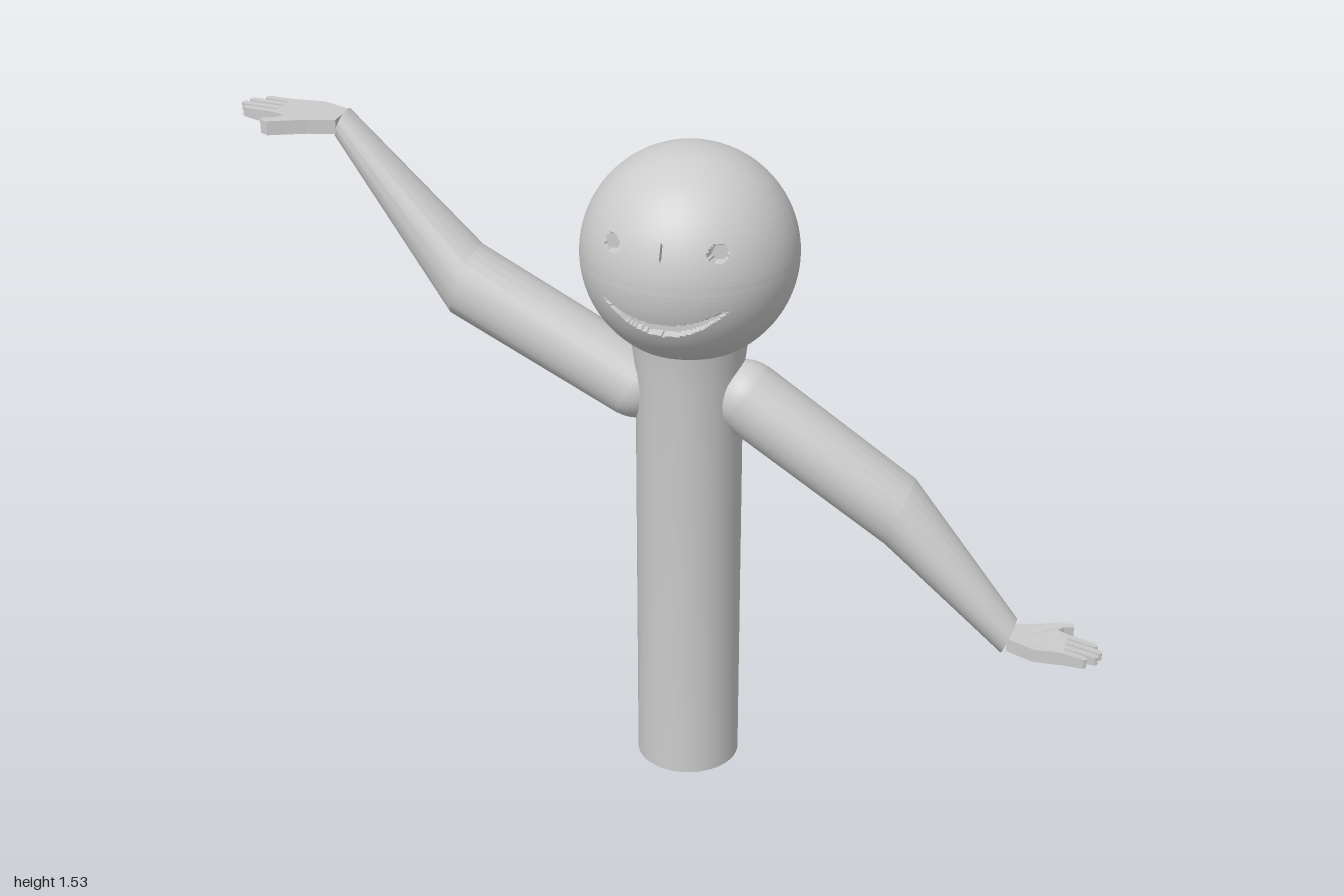
import * as THREE from 'three';
import { toCreasedNormals } from 'three/addons/utils/BufferGeometryUtils.js';

const CX = 0.04; // axis of the body and head
const material = new THREE.MeshStandardMaterial({ color: 0xcccccc });

function part(name, geometry) {
  const mesh = new THREE.Mesh(geometry, material);
  mesh.name = name;
  return mesh;
}

// Round column flaring slightly under the head
function makeBody() {
  const profile = [[0, 0], [0.12, 0], [0.12, 1.0], [0.131, 1.085], [0, 1.085]]
    .map(([r, y]) => new THREE.Vector2(r, y));
  const body = part('body', toCreasedNormals(new THREE.LatheGeometry(profile, 40), 0.6));
  body.position.x = CX;
  return body;
}

// Moves a value lying near an edge right up to it, so recess walls are steep
function snap(value, edge, band) {
  if (Math.abs(value - edge) > band) return value;
  return value < edge ? edge - 0.0002 : edge + 0.0002;
}

// Ball whose grid is finest at the face, with eyes and mouth pressed in to flat floors
function makeHead() {
  const R = 0.24, EYE = 0.019;
  const geo = new THREE.SphereGeometry(R, 192, 160);
  const pos = geo.attributes.position, uv = geo.attributes.uv;
  for (let i = 0; i < pos.count; i++) {
    const a = (uv.getX(i) - 0.25) * 2 * Math.PI;
    const t = (uv.getY(i) - 0.5) * Math.PI;
    const lon = a - 0.7 * Math.sin(a), lat = t - 0.3 * Math.sin(2 * t);
    let x = R * Math.sin(lon) * Math.cos(lat), y = R * Math.sin(lat);
    let z = R * Math.cos(lon) * Math.cos(lat);
    if (z > 0.1) {
      // Eyes
      const ex = Math.sign(x) * 0.115, ey = 0.08;
      const d = Math.hypot(x - ex, y - ey), ds = snap(d, EYE, 0.0016);
      if (ds !== d) {
        x = ex + (x - ex) * ds / d;
        y = ey + (y - ey) * ds / d;
      }
      // Mouth between two curved lips
      const m = (x / 0.138) ** 2;
      const lower = -0.112 + 0.066 * m, upper = -0.083 + 0.04 * m;
      if (m < 0.95) y = snap(snap(y, lower, 0.0014), upper, 0.0014);
      z = Math.sqrt(R * R - x * x - y * y);
      if (ds < EYE) z = Math.min(z, 0.18);
      if (m < 1 && y > lower && y < upper) z = Math.min(z, 0.191);
    }
    pos.setXYZ(i, x, y, z);
  }
  const head = part('head', toCreasedNormals(geo, 0.5));
  head.position.set(CX, 1.285, 0);
  return head;
}

// Loft through elliptical rings: centre (x, y), half axis (hx, hy) in the xy plane, half width along z
function loft(rings, sides = 24) {
  const points = [], index = [];
  const flip = rings[1].x < rings[0].x;
  const face = (a, b, c) => index.push(...(flip ? [a, c, b] : [a, b, c]));
  rings.forEach(({ x, y, hx, hy, rz }) => {
    for (let i = 0; i < sides; i++) {
      const a = (i / sides) * Math.PI * 2, c = Math.cos(a);
      points.push(x + hx * c, y + hy * c, rz * Math.sin(a));
    }
  });
  for (let r = 0; r < rings.length - 1; r++) {
    for (let i = 0; i < sides; i++) {
      const a = r * sides + i, b = r * sides + (i + 1) % sides;
      face(a, b, a + sides);
      face(b, b + sides, a + sides);
    }
  }
  // End caps
  const last = (rings.length - 1) * sides;
  for (let i = 1; i < sides - 1; i++) {
    face(0, i + 1, i);
    face(last, last + i, last + i + 1);
  }
  const geo = new THREE.BufferGeometry();
  geo.setAttribute('position', new THREE.Float32BufferAttribute(points, 3));
  geo.setIndex(index);
  return toCreasedNormals(geo, 0.32);
}

// Flat hand with four fingers and a thumb, drawn for a length of 1
function makeHand(name, side, length, x, y, bend) {
  const outline = [[0, -0.16], [0.3, -0.3], [0.5, -0.29]];
  [0.86, 0.97, 1, 0.94].forEach((tip, i) => {
    const v = -0.28 + i * 0.105;
    outline.push([0.62, v], [tip - 0.03, v], [tip, v + 0.02], [tip, v + 0.055],
      [tip - 0.03, v + 0.075], [0.62, v + 0.078]);
  });
  outline.push([0.5, 0.17], [0.56, 0.24], [0.66, 0.29], [0.65, 0.35], [0.58, 0.37],
    [0.42, 0.3], [0.25, 0.23], [0, 0.16]);
  const shape = new THREE.Shape(outline.map(([u, v]) => new THREE.Vector2(u * length, v * length)));
  const geo = new THREE.ExtrudeGeometry(shape, { depth: 0.032, bevelEnabled: false });
  geo.translate(0, 0, -0.016).rotateX(-Math.PI / 2);
  // Thin the fingers and curl their tips
  const pos = geo.attributes.position;
  for (let i = 0; i < pos.count; i++) {
    const f = Math.max(0, pos.getX(i) / length - 0.6) / 0.4;
    pos.setY(i, pos.getY(i) * (1 - 0.45 * f) + bend * f);
  }
  if (side < 0) geo.rotateY(Math.PI);
  geo.computeVertexNormals();
  const hand = part(name, geo);
  hand.position.set(x, y, 0);
  return hand;
}

// Arm: rounded shoulder, mitred elbow, tapering wrist, flat hand
function makeArm(name, side, rings, handLength, handY, bend) {
  const arm = new THREE.Group();
  arm.name = name;
  const [shoulder, , wrist] = rings;
  const ball = part(name + 'Shoulder', new THREE.SphereGeometry(0.081, 32, 20));
  ball.position.set(shoulder.x, shoulder.y, 0);
  arm.add(ball, part(name + 'Sleeve', loft(rings)),
    makeHand(name + 'Hand', side, handLength, wrist.x, handY, bend));
  return arm;
}

export function createModel() {
  const model = new THREE.Group();
  model.name = 'wavingFigure';
  model.add(makeBody(), makeHead());
  // Raised right arm
  model.add(makeArm('rightArm', -1, [
    { x: -0.085, y: 0.955, hx: 0.037, hy: 0.073, rz: 0.082 },
    { x: -0.48, y: 1.16, hx: 0.031, hy: 0.08, rz: 0.082 },
    { x: -0.757, y: 1.5, hx: 0.013, hy: 0.032, rz: 0.038 },
  ], 0.243, 1.502, 0.012));
  // Lowered left arm
  model.add(makeArm('leftArm', 1, [
    { x: 0.17, y: 0.953, hx: 0.046, hy: 0.068, rz: 0.082 },
    { x: 0.528, y: 0.715, hx: 0.028, hy: 0.075, rz: 0.082 },
    { x: 0.79, y: 0.435, hx: 0.015, hy: 0.04, rz: 0.043 },
  ], 0.21, 0.43, -0.01));
  return model;
}
